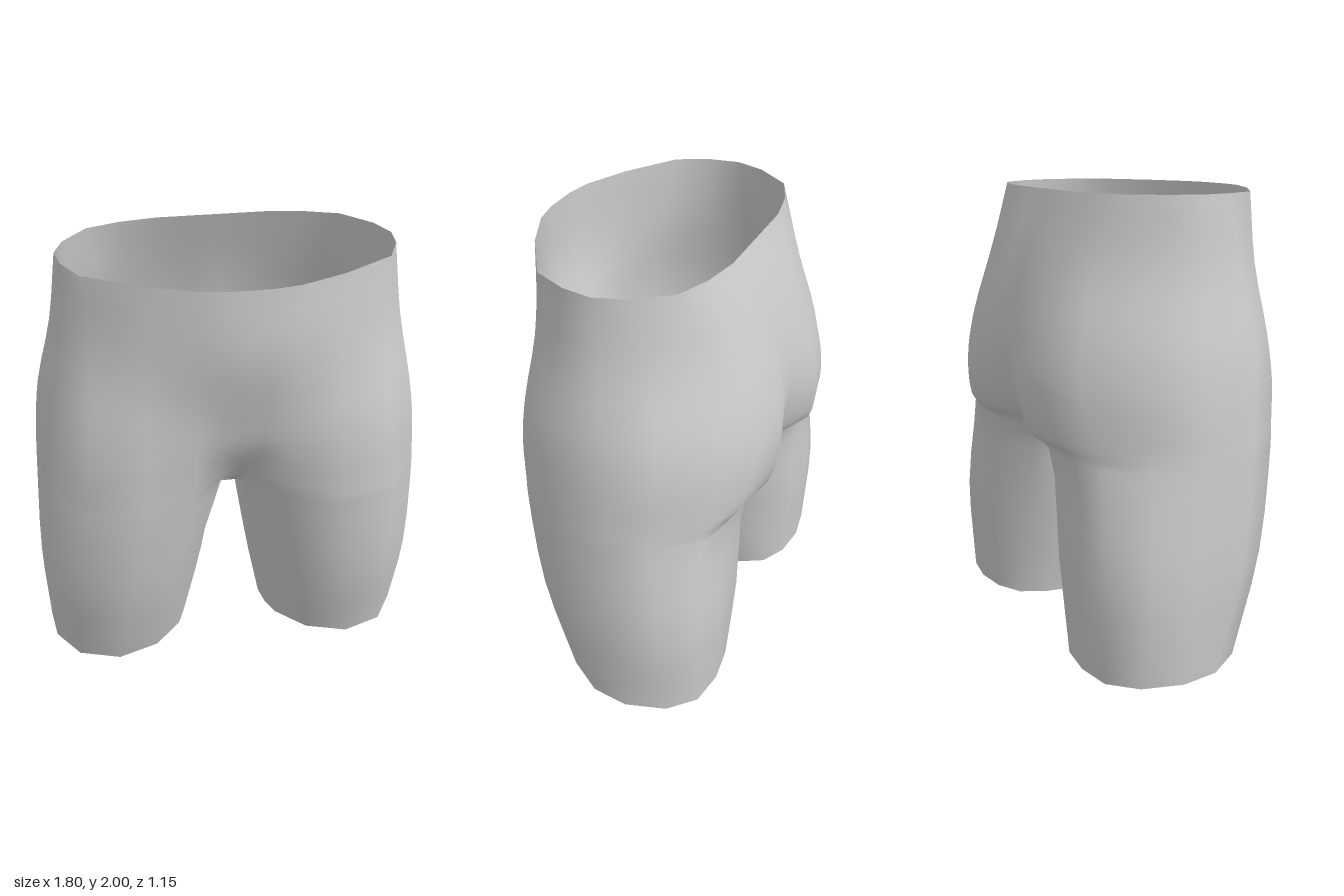
import * as THREE from 'three';
import { mergeVertices } from 'three/addons/utils/BufferGeometryUtils.js';

const STEPS = 3; // rows between two neighbouring cross-sections

// Left-half cross-sections as [x, z], from the inner front round the outside to the inner back
const legRings = [
  { y: 0, p: [[.25, .06], [.38, .2], [.57, .265], [.76, .2], [.865, .04], [.885, -.13], [.83, -.31], [.72, -.42], [.56, -.445], [.4, -.425], [.28, -.36]] },
  { y: .45, p: [[.17, .13], [.3, .33], [.5, .4], [.73, .35], [.87, .16], [.9, -.09], [.87, -.28], [.75, -.43], [.59, -.465], [.37, -.455], [.2, -.36]] },
  { y: .92, p: [[.055, .19], [.2, .39], [.44, .475], [.69, .42], [.85, .21], [.88, -.06], [.805, -.24], [.67, -.41], [.52, -.45], [.28, -.455], [.06, -.36]] },
];
const pelvisRings = [
  { y: 1.0, p: [[.065, .27], [.2, .41], [.435, .479], [.68, .426], [.842, .217], [.876, -.057], [.795, -.24], [.65, -.425], [.49, -.5], [.27, -.54], [.06, -.45]] },
  { y: 1.2, p: [[.08, .41], [.2, .455], [.42, .487], [.655, .44], [.82, .235], [.862, -.05], [.785, -.25], [.6, -.46], [.42, -.54], [.23, -.578], [.06, -.52]] },
  { y: 1.4, p: [[.09, .48], [.21, .488], [.4, .488], [.635, .42], [.785, .245], [.835, -.04], [.75, -.24], [.57, -.44], [.4, -.515], [.22, -.55], [.07, -.53]] },
  { y: 1.7, p: [[.09, .562], [.21, .54], [.4, .475], [.61, .36], [.73, .2], [.762, 0], [.67, -.19], [.52, -.36], [.38, -.425], [.22, -.46], [.08, -.455]] },
  { y: 2, p: [[.08, .572], [.2, .55], [.4, .46], [.63, .31], [.7, .16], [.72, .03], [.68, -.1], [.57, -.25], [.42, -.31], [.25, -.34], [.09, -.34]] },
];
// Inner thigh points of the three leg sections, from back to front
const innerThigh = [
  [[.22, -.25], [.2, -.13], [.215, -.03]],
  [[.12, -.2], [.11, -.08], [.125, .03]],
  [[.05, -.22], [.05, -.08], [.05, .05]],
];

// Smooth vertical line of points through the given section points
function column(points) {
  return new THREE.CatmullRomCurve3(points).getPoints((points.length - 1) * STEPS);
}

export function createModel() {
  const rings = [...legRings, ...pelvisRings];
  const crotchRow = (legRings.length - 1) * STEPS;
  const outer = rings[0].p.map((_, i) =>
    column(rings.map(r => new THREE.Vector3(r.p[i][0], r.y, r.p[i][1]))));
  const inner = innerThigh[0].map((_, i) =>
    column(legRings.map((r, k) => new THREE.Vector3(innerThigh[k][i][0], r.y, innerThigh[k][i][1]))));

  const positions = [];
  const triangle = (a, b, c) => {
    for (const v of [a, b, c]) positions.push(v.x, v.y, v.z);
    for (const v of [a, c, b]) positions.push(-v.x, v.y, v.z); // mirrored half
  };
  const quad = (a, b, c, d) => { triangle(a, b, c); triangle(a, c, d); };
  const loft = (columns, from, to) => {
    for (let i = 0; i < columns.length - 1; i++) {
      for (let j = from; j < to; j++) {
        quad(columns[i][j], columns[i + 1][j], columns[i + 1][j + 1], columns[i][j + 1]);
      }
    }
  };
  const onCentre = v => new THREE.Vector3(0, v.y, v.z);

  // Outside of leg and hip, from hem to waist
  const front = outer[0], back = outer[outer.length - 1];
  const topRow = front.length - 1;
  loft(outer, 0, topRow);

  // Inner thigh
  const thigh = [back, ...inner, front];
  loft(thigh, 0, crotchRow);

  // Front and back centre strips
  loft([front.map(onCentre), front], crotchRow, topRow);
  loft([back, back.map(onCentre)], crotchRow, topRow);

  // Crotch bridge between the legs
  for (let i = 0; i < thigh.length - 1; i++) {
    const a = thigh[i][crotchRow], b = thigh[i + 1][crotchRow];
    quad(onCentre(b), onCentre(a), a, b);
  }

  const raw = new THREE.BufferGeometry();
  raw.setAttribute('position', new THREE.Float32BufferAttribute(positions, 3));
  const geometry = mergeVertices(raw, 1e-4);
  geometry.computeVertexNormals();

  const shell = new THREE.Mesh(geometry,
    new THREE.MeshStandardMaterial({ color: 0xcccccc, side: THREE.DoubleSide }));
  shell.name = 'pelvisAndLegs';
  const model = new THREE.Group();
  model.name = 'shorts';
  model.add(shell);
  return model;
}
